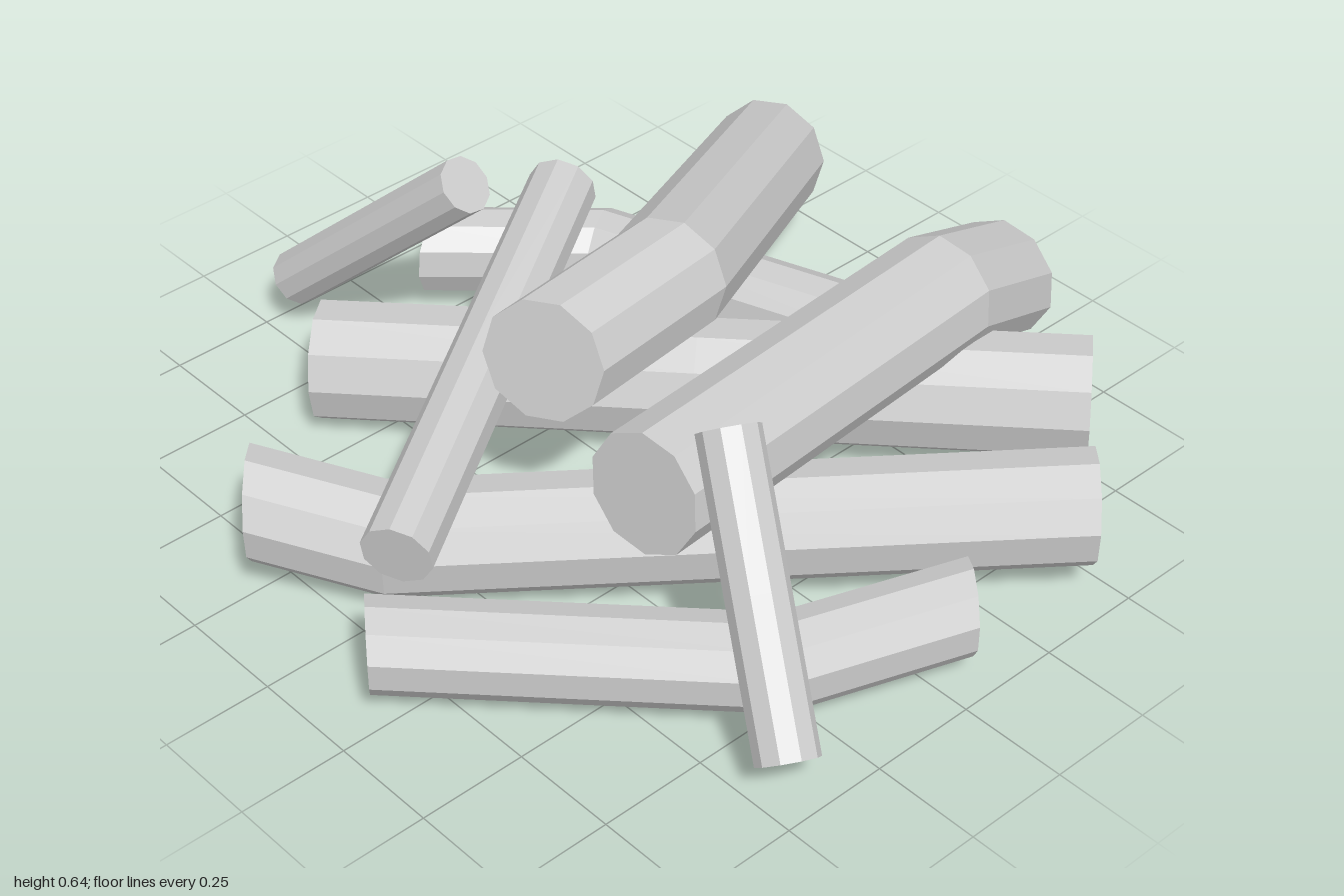
import * as THREE from 'three';

const SIDES = 10;
const UP = new THREE.Vector3(0, 1, 0);
const material = new THREE.MeshStandardMaterial({ color: 0xcccccc, flatShading: true });

// A log whose rings all face along the line between its ends; an optional
// middle ring is pushed aside to give the log its kink.
function makeLog(name, radius, start, end, bend) {
  const a = new THREE.Vector3(...start);
  const b = new THREE.Vector3(...end);
  const middle = bend ? new THREE.Vector3(...bend) : a.clone().lerp(b, 0.5);
  const axis = b.clone().sub(a).normalize();
  const turn = new THREE.Quaternion().setFromUnitVectors(UP, axis);
  const geometry = new THREE.CylinderGeometry(radius, radius, 2, SIDES, 2);
  const position = geometry.attributes.position;
  const v = new THREE.Vector3();
  for (let i = 0; i < position.count; i++) {
    v.fromBufferAttribute(position, i);
    const centre = v.y < -0.5 ? a : v.y > 0.5 ? b : middle;
    v.setY(0).applyQuaternion(turn).add(centre);
    position.setXYZ(i, v.x, v.y, v.z);
  }
  geometry.computeVertexNormals();
  const mesh = new THREE.Mesh(geometry, material);
  mesh.name = name;
  return mesh;
}

export function createModel() {
  const group = new THREE.Group();
  group.name = 'logPile';
  group.add(
    // bottom layer
    makeLog('longStraightLog', 0.137, [-0.655, 0.142, 0.345], [0.64, 0.2, -0.765]),
    makeLog('longBentLog', 0.126, [-0.31, 0.19, 0.795], [0.895, 0.205, -0.485], [-0.07, 0.145, 0.625]),
    makeLog('frontBentLog', 0.102, [0.16, 0.147, 0.86], [0.898, 0.153, -0.11], [0.757, 0.15, 0.29]),
    makeLog('backBentLog', 0.102, [-0.807, 0.15, -0.11], [0.23, 0.145, -0.67], [-0.547, 0.145, -0.4]),
    // upper layer, leaning down towards the back
    makeLog('upperRightLog', 0.137, [0.06, 0.515, 0.3], [-0.455, 0.255, -0.86], [0.015, 0.515, -0.085]),
    makeLog('upperLeftLog', 0.137, [0.428, 0.42, 0.358], [0.252, 0.25, -0.905], [0.333, 0.395, -0.595]),
    // thin branches leaning on the pile
    makeLog('rightBranch', 0.066, [-0.955, 0.132, 0.185], [-0.465, 0.58, 0.065]),
    makeLog('frontBranch', 0.078, [-0.455, 0.46, -0.205], [0.12, 0.288, 0.745]),
    makeLog('leftBranch', 0.067, [0.94, 0.115, 0.448], [0.548, 0.597, 0.245]),
  );
  return group;
}
